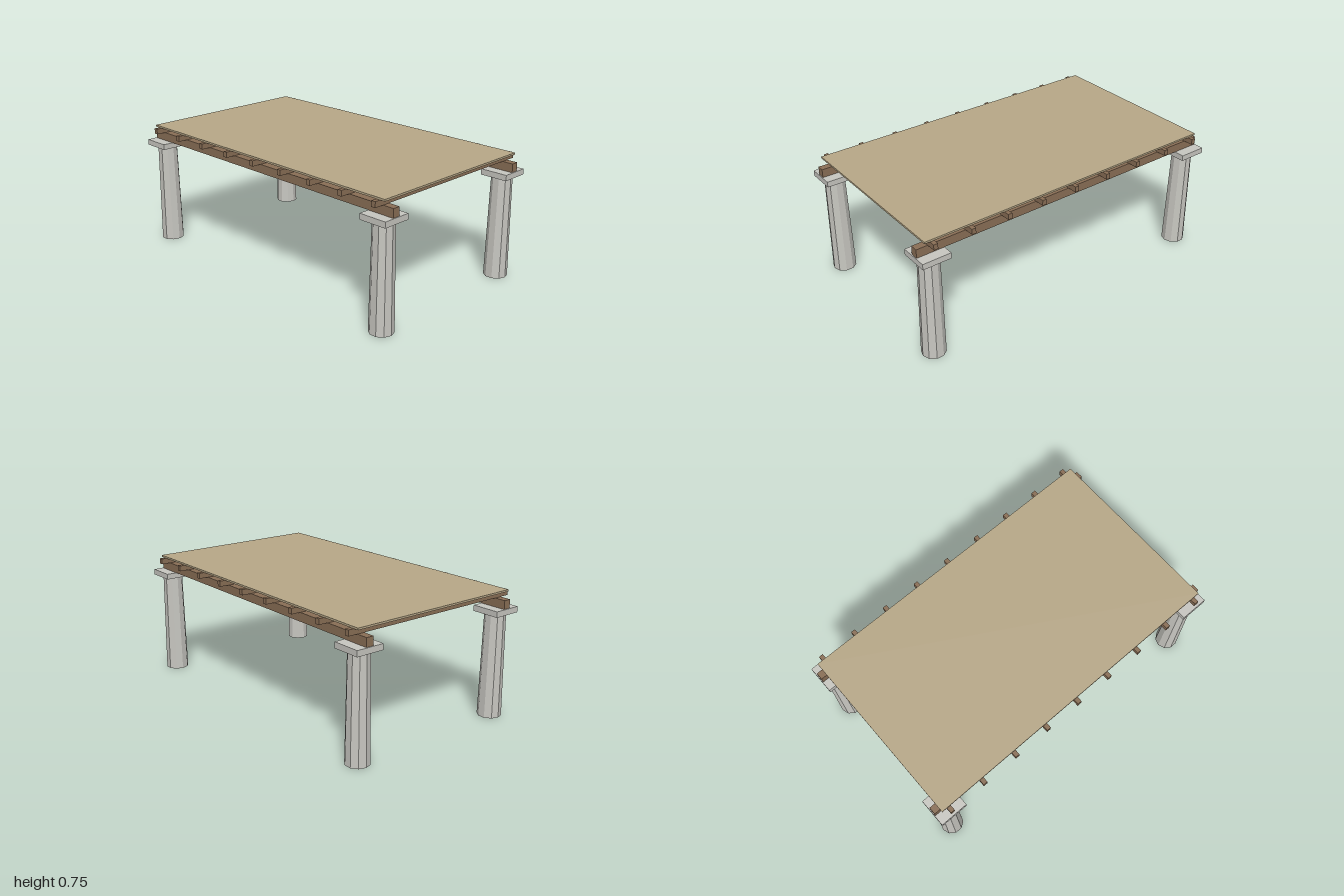
import * as THREE from 'three';

const stone = new THREE.MeshStandardMaterial({ color: 0xc8c7c1, flatShading: true });
stone.name = 'pale stone';
const timber = new THREE.MeshStandardMaterial({ color: 0x8a6f56 });
timber.name = 'brown timber';
const canvas = new THREE.MeshStandardMaterial({ color: 0xb8a888 });
canvas.name = 'tan roofing';

export function createModel() {
  const model = new THREE.Group();
  model.name = 'pergola';

  const add = (name, geometry, material, x, y, z) => {
    const mesh = new THREE.Mesh(geometry, material);
    mesh.name = name;
    mesh.position.set(x, y, z);
    model.add(mesh);
  };

  const columnX = 0.502, columnZ = 0.915;
  const shaft = new THREE.CylinderGeometry(0.06, 0.0695, 0.619, 10);
  const cap = new THREE.BoxGeometry(0.17, 0.034, 0.17);
  const beam = new THREE.BoxGeometry(0.044, 0.051, 1.99);
  const joist = new THREE.BoxGeometry(1.164, 0.033, 0.026);

  for (const sx of [-1, 1]) {
    // Tapered ten-sided columns with square caps
    for (const sz of [-1, 1]) {
      add('columnShaft', shaft, stone, sx * columnX, 0.3095, sz * columnZ);
      add('columnCap', cap, stone, sx * columnX, 0.636, sz * columnZ);
    }
    // Long beams resting on the caps
    add('beam', beam, timber, sx * columnX, 0.6785, 0);
  }

  // Cross joists
  const joistCount = 9;
  for (let i = 0; i < joistCount; i++) {
    const z = columnZ * (2 * i / (joistCount - 1) - 1);
    add('joist', joist, timber, 0, 0.7205, z);
  }

  // Thin roof sheet
  add('roofSheet', new THREE.BoxGeometry(1.098, 0.011, 1.92), canvas, 0, 0.7425, 0);

  return model;
}
